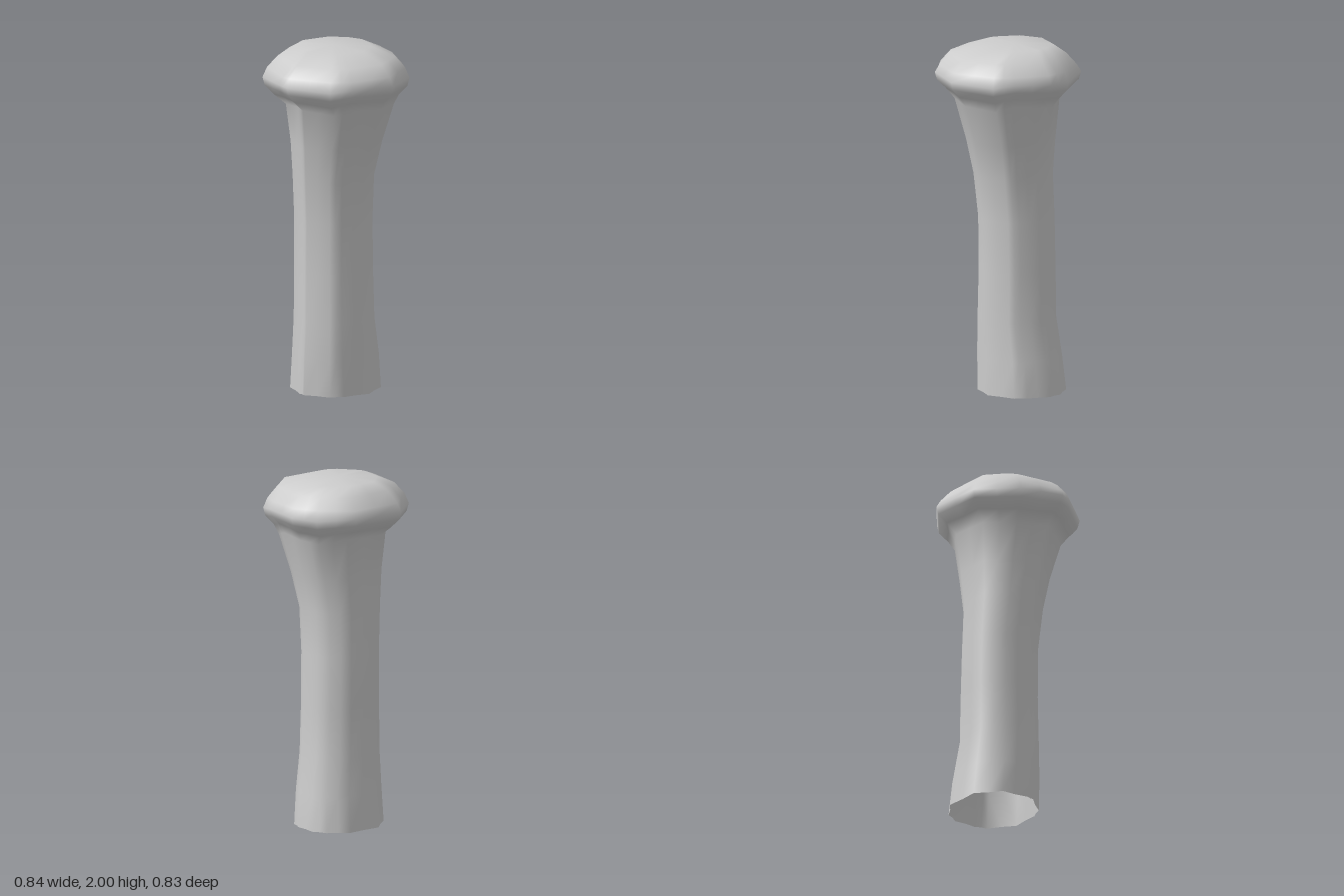
import * as THREE from 'three';

// Uneven column directions around the axis (0 = +x, 90 = +z)
const ANGLES = [4, 35, 52, 90, 127, 145, 182, 191, 229, 266, 312, 343];

// Radius factors of the columns for the stem and for the cap
const STEM = [1, 0.97, 1, 1, 0.96, 0.98, 1, 0.98, 1, 1, 0.99, 1];
const CAP = [0.42, 0.4, 0.408, 0.415, 0.407, 0.408, 0.42, 0.418, 0.422, 0.42, 0.42, 0.41];

// One closed ring: a point per column plus one between, pulled in or out by flute
function ring(y, factors, { rx, rz = rx, dx = 0, dz = 0, flute = 1, wave = 0 }) {
  const corners = factors.map((f, i) => {
    const a = THREE.MathUtils.degToRad(ANGLES[i]);
    return new THREE.Vector3(Math.cos(a) * f * rx, wave * Math.sin(i * 2.1), Math.sin(a) * f * rz);
  });
  const offset = new THREE.Vector3(dx, y, dz);
  return corners.flatMap((p, i) => {
    const middle = p.clone().lerp(corners[(i + 1) % corners.length], 0.5);
    middle.x *= flute;
    middle.z *= flute;
    return [p.clone().add(offset), middle.add(offset)];
  });
}

// Skin the rings from bottom to top and close them with a centre point
function skin(rings, tip) {
  const n = rings[0].length;
  const points = [...rings.flat(), tip];
  const index = [];
  for (let j = 0; j < rings.length; j++) {
    for (let i = 0; i < n; i++) {
      const a = j * n + i, b = j * n + (i + 1) % n;
      if (j === rings.length - 1) index.push(a, points.length - 1, b);
      else index.push(a, a + n, b, b, a + n, b + n);
    }
  }
  const geometry = new THREE.BufferGeometry().setFromPoints(points);
  geometry.setIndex(index);
  geometry.computeVertexNormals();
  return geometry;
}

export function createModel() {
  const group = new THREE.Group();
  group.name = 'mushroomPillar';
  const material = new THREE.MeshStandardMaterial({ color: 0xcccccc, side: THREE.DoubleSide });

  const rings = [
    // Open foot, flared towards the back left
    ring(0, STEM, { rx: 0.265, rz: 0.25, dx: 0.055, dz: -0.06, flute: 0.98 }),
    ring(0.2, STEM, { rx: 0.257, rz: 0.237, dx: 0.045, dz: -0.052, flute: 0.98 }),
    ring(0.42, STEM, { rx: 0.23, rz: 0.226, dx: 0.027, dz: -0.047 }),
    // Shaft, leaning slightly
    ring(0.7, STEM, { rx: 0.224, rz: 0.222, dx: 0.026, dz: -0.05 }),
    ring(1.0, STEM, { rx: 0.22, rz: 0.222, dx: 0.022, dz: -0.048 }),
    ring(1.25, STEM, { rx: 0.23, rz: 0.23, dx: 0.008, dz: -0.036 }),
    ring(1.45, STEM, { rx: 0.262, rz: 0.256, dx: 0.01, dz: -0.015 }),
    // Neck and scalloped underside of the cap
    ring(1.68, STEM, { rx: 0.307, rz: 0.303, dx: 0.008, dz: 0.012, wave: 0.015 }),
    ring(1.735, CAP, { rx: 0.85, flute: 0.98, wave: 0.015 }),
    ring(1.785, CAP, { rx: 0.97, wave: 0.012 }),
    // Rounded cap
    ring(1.83, CAP, { rx: 1, wave: 0.01 }),
    ring(1.88, CAP, { rx: 0.94 }),
    ring(1.945, CAP, { rx: 0.8 }),
    ring(1.993, CAP, { rx: 0.52, dx: 0.02, dz: -0.04 }),
  ];
  const body = new THREE.Mesh(skin(rings, new THREE.Vector3(0.02, 2, -0.04)), material);
  body.name = 'stemAndCap';
  group.add(body);
  return group;
}
